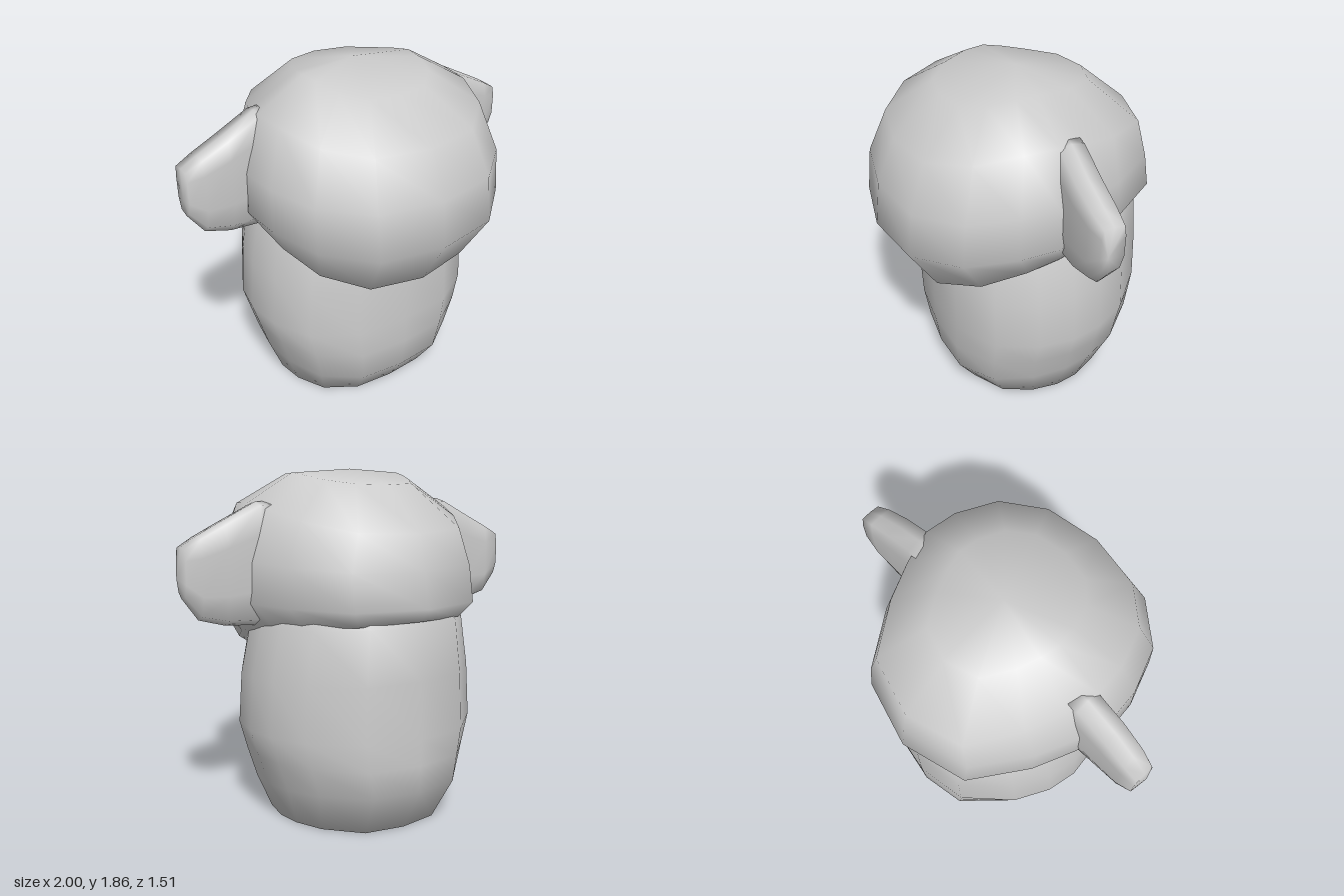
import * as THREE from 'three';

const material = new THREE.MeshStandardMaterial({ color: 0xcccccc });

// Half outlines seen from above, front to back, as fractions of width and depth
const HEAD_PLAN = [[0, 1], [0.5, 0.92], [0.83, 0.66], [0.97, 0.32], [1, 0.05],
  [0.93, -0.2], [0.8, -0.49], [0.52, -0.87], [0, -1]];
const BODY_PLAN = [[0, 1], [0.45, 0.96], [0.8, 0.73], [0.96, 0.38], [1, 0.05],
  [0.95, -0.24], [0.8, -0.56], [0.45, -0.92], [0, -1]];

// Ear cross-section as fractions of half thickness and half height
const EAR_SECTION = [[0, 1], [0.8, 0.96], [1, 0.6], [1, -0.3], [0.7, -0.8],
  [0.1, -1], [-0.7, -0.88], [-1, -0.4], [-1, 0.5], [-0.85, 0.95]];

const closePlan = (half) =>
  [...half, ...half.slice(1, -1).reverse().map(([u, v]) => [-u, v])];

// Smooth skin over closed rings, with a centre point closing each end
function loft(name, rings, start, end) {
  const n = rings[0].length;
  const points = [...rings.flat(), start, end];
  const index = [];
  const last = (rings.length - 1) * n;
  const startId = rings.length * n;
  for (let j = 0; j < n; j++) {
    const k = (j + 1) % n;
    for (let i = 0; i < rings.length - 1; i++) {
      const a = i * n, b = a + n;
      index.push(a + j, a + k, b + j, a + k, b + k, b + j);
    }
    index.push(startId, k, j, startId + 1, last + j, last + k);
  }
  const geometry = new THREE.BufferGeometry();
  geometry.setAttribute('position', new THREE.Float32BufferAttribute(points.flat(), 3));
  geometry.setIndex(index);
  geometry.computeVertexNormals();
  const mesh = new THREE.Mesh(geometry, material);
  mesh.name = name;
  return mesh;
}

// A tilted ring through a front point and a back point; lift raises its sides
function ring(plan, [yFront, zFront, yBack, zBack, width, lift = 0]) {
  return closePlan(plan).map(([u, v]) => {
    const t = (v + 1) / 2;
    return [u * width, yBack + (yFront - yBack) * t + lift * u ** 4, zBack + (zFront - zBack) * t];
  });
}

function createBody() {
  // front y, front z, back y, back z, half width
  const rings = [
    [0, 0.34, 0, -0.57, 0.48],
    [0.16, 0.45, 0.24, -0.71, 0.555],
    [0.34, 0.475, 0.38, -0.713, 0.605],
    [0.5, 0.475, 0.52, -0.715, 0.65],
    [0.76, 0.47, 0.82, -0.705, 0.63],
    [1.0, 0.44, 1.1, -0.685, 0.58],
    [1.25, 0.35, 1.3, -0.55, 0.48],
  ].map((r) => ring(BODY_PLAN, r));
  return loft('body', rings, [0, 0, -0.11], [0, 1.3, -0.1]);
}

function createHead() {
  // front y, front z, back y, back z, half width, side lift
  const rings = [
    [0.745, 0.45, 1.09, -0.55, 0.45, 0.06],
    [0.84, 0.6, 1.12, -0.69, 0.59, 0.07],
    [1.11, 0.76, 1.19, -0.755, 0.69, 0.04],
    [1.35, 0.73, 1.37, -0.72, 0.685, 0.05],
    [1.59, 0.63, 1.55, -0.68, 0.59, 0.12],
    [1.78, 0.38, 1.78, -0.41, 0.33, 0.06],
  ].map((r) => ring(HEAD_PLAN, r));
  return loft('head', rings, [0, 1.0, -0.05], [0, 1.86, -0.03]);
}

// Flat, tapering ear growing sideways out of the head
function createEar(name, side) {
  // x, bottom y, top y, back z, front z
  const stations = [
    [0.5, 1.05, 1.7, -0.14, 0.02],
    [0.58, 1.06, 1.695, -0.135, 0.03],
    [0.76, 1.075, 1.605, -0.13, 0.035],
    [0.9, 1.115, 1.535, -0.13, 0.025],
    [0.985, 1.23, 1.485, -0.125, 0.005],
  ];
  const rings = stations.map(([x, y0, y1, z0, z1]) => {
    const section = EAR_SECTION.map(([w, h]) => [
      side * x,
      (y0 + y1) / 2 + (h * (y1 - y0)) / 2,
      (z0 + z1) / 2 + (w * (z1 - z0)) / 2,
    ]);
    return side > 0 ? section : section.reverse();
  });
  return loft(name, rings, [side * 0.5, 1.4, -0.06], [side, 1.33, -0.03]);
}

export function createModel() {
  const model = new THREE.Group();
  model.name = 'bigHeadedFigure';
  model.add(createBody(), createHead(), createEar('leftEar', 1), createEar('rightEar', -1));
  return model;
}
